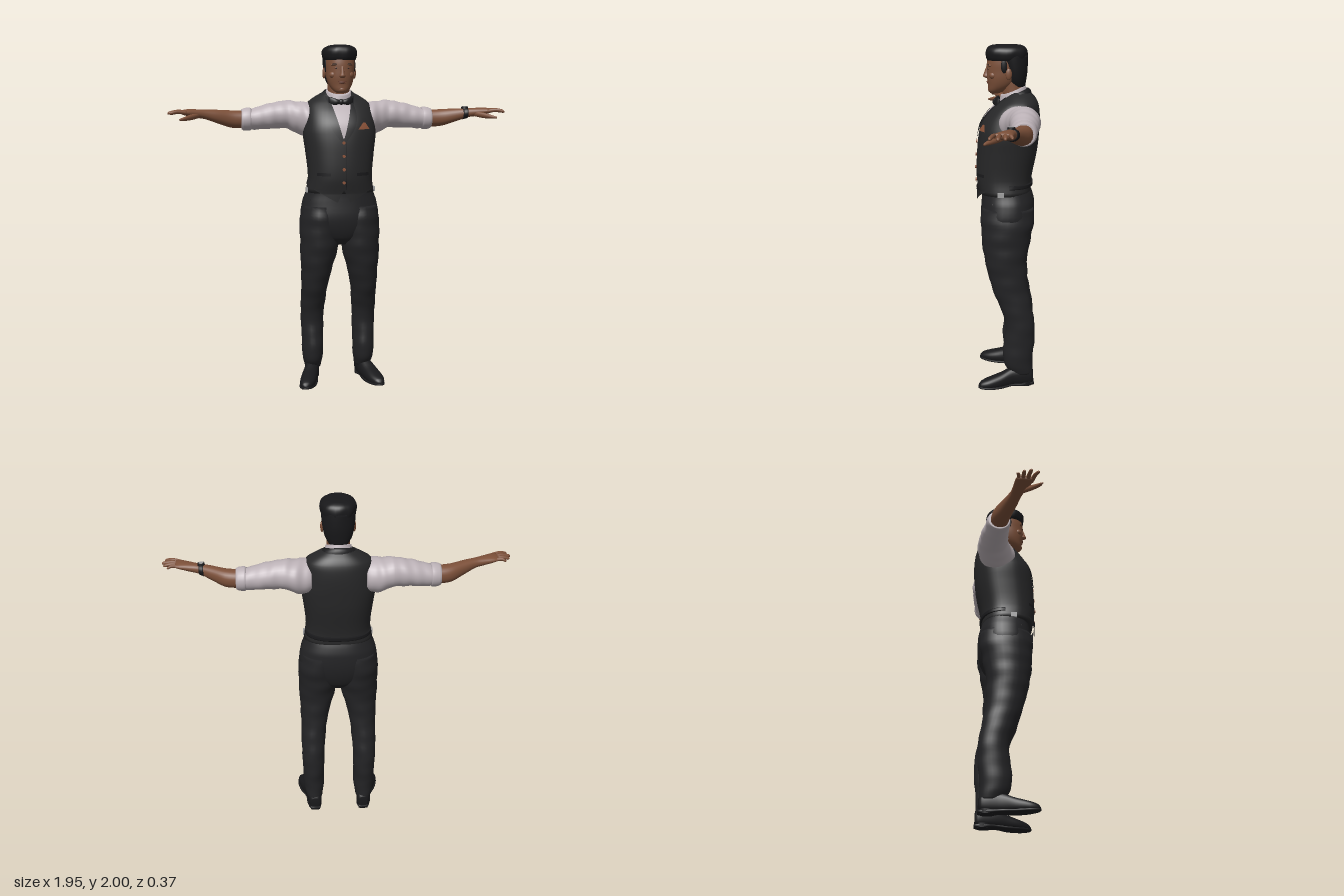
import * as THREE from 'three';

const mat = (name, color, side = THREE.FrontSide) => {
  const m = new THREE.MeshStandardMaterial({ color, side });
  m.name = name;
  return m;
};

// Smooth value of every column of a table of rows [t, a, b, ra, rb] at t
function sample(rows, t) {
  const n = rows.length;
  t = Math.min(Math.max(t, rows[0][0]), rows[n - 1][0]);
  let i = 0;
  while (i < n - 2 && t > rows[i + 1][0]) i++;
  const h = rows[i + 1][0] - rows[i][0], u = (t - rows[i][0]) / h;
  const slope = (k, c) => {
    const p = rows[Math.max(k - 1, 0)], q = rows[Math.min(k + 1, n - 1)];
    return (q[c] - p[c]) / (q[0] - p[0]);
  };
  return [1, 2, 3, 4].map(c => {
    const v = rows[i][c], w = rows[i + 1][c];
    return v + (w - v) * u * u * (3 - 2 * u)
      + h * slope(i, c) * u * (1 - u) * (1 - u) - h * slope(i + 1, c) * u * u * (1 - u);
  });
}

// Closed skin over rounded sections stacked along an axis
function loft(rows, { axis = 'y', p = 2, sides = 28, steps = 4, fold = () => 0, move = null } = {}) {
  const pos = [], idx = [];
  const put = (t, a, b) => {
    const v = axis === 'y' ? new THREE.Vector3(a, t, b) : axis === 'x' ? new THREE.Vector3(t, a, b) : new THREE.Vector3(a, b, t);
    if (move) move(v);
    pos.push(v.x, v.y, v.z);
  };
  const tri = (a, b, c) => (axis === 'y' ? idx.push(a, b, c) : idx.push(a, c, b));
  const ts = [];
  rows.forEach((r, i) => {
    if (i) for (let k = 1; k <= steps; k++) ts.push(rows[i - 1][0] + (r[0] - rows[i - 1][0]) * k / steps);
    else ts.push(r[0]);
  });
  const pw = v => Math.sign(v) * Math.abs(v) ** (2 / p);
  for (const t of ts) {
    const [a, b, ra, rb] = sample(rows, t);
    for (let j = 0; j < sides; j++) {
      const th = j / sides * Math.PI * 2, f = 1 + fold(t, th);
      put(t, a + ra * f * pw(Math.cos(th)), b + rb * f * pw(Math.sin(th)));
    }
  }
  const last = ts.length - 1;
  for (let i = 0; i < last; i++) for (let j = 0; j < sides; j++) {
    const A = i * sides + j, B = i * sides + (j + 1) % sides;
    tri(A, A + sides, B);
    tri(B, A + sides, B + sides);
  }
  for (const i of [0, last]) {
    const c = pos.length / 3, [a, b] = sample(rows, ts[i]);
    put(ts[i], a, b);
    for (let j = 0; j < sides; j++) {
      const A = i * sides + j, B = i * sides + (j + 1) % sides;
      i ? tri(c, B, A) : tri(c, A, B);
    }
  }
  const g = new THREE.BufferGeometry();
  g.setAttribute('position', new THREE.Float32BufferAttribute(pos, 3));
  g.setIndex(idx);
  g.computeVertexNormals();
  return g;
}

function mirror(geo) {
  const g = geo.clone().scale(-1, 1, 1), ix = g.index.array;
  for (let i = 0; i < ix.length; i += 3) [ix[i], ix[i + 1]] = [ix[i + 1], ix[i]];
  return g;
}

const TORSO = [
  [1.16, 0, .015, .198, .15], [1.25, 0, .02, .186, .16], [1.4, 0, .003, .2, .173], [1.5, 0, -.008, .212, .173],
  [1.56, 0, -.018, .205, .167], [1.62, 0, -.037, .195, .147], [1.67, 0, -.058, .18, .118],
  [1.705, 0, -.07, .135, .088], [1.735, 0, -.07, .08, .06]];
const TP = 2.4;
const chestZ = (x, y) => {
  const [, b, w, d] = sample(TORSO, y);
  return b + d * Math.max(0, 1 - Math.abs(x / w) ** TP) ** (1 / TP);
};

// Thin cloth lying on the chest between two edges xa(u) and xb(u), u from 0 (low) to 1 (high)
function patch(y0, y1, xa, xb, off) {
  const g = new THREE.PlaneGeometry(1, 1, 12, 20), P = g.attributes.position;
  for (let i = 0; i < P.count; i++) {
    const u = P.getY(i) + .5, s = P.getX(i) + .5, y = y0 + (y1 - y0) * u;
    const x = xa(u) + (xb(u) - xa(u)) * s;
    P.setXYZ(i, x, y, chestZ(x, y) + off);
  }
  g.computeVertexNormals();
  return g;
}

export function createModel() {
  const root = new THREE.Group();
  const skin = mat('skin', 0x7c5039), lip = mat('lips', 0x6b3f30), hair = mat('hair', 0x18181a);
  const shirt = mat('shirt', 0xbbb1b6, THREE.DoubleSide), vest = mat('vest', 0x272728, THREE.DoubleSide);
  const trim = mat('satin trim', 0x1b1b1d, THREE.DoubleSide), cloth = mat('trousers', 0x232325);
  const leather = mat('shoe leather', 0x19191b), metal = mat('metal', 0xa0a0a0);
  const copper = mat('copper accents', 0x8c5339, THREE.DoubleSide);
  const add = (name, geo, m) => {
    const mesh = new THREE.Mesh(geo, m);
    mesh.name = name;
    root.add(mesh);
    return mesh;
  };
  const both = (name, geo, m) => {
    add('left ' + name, geo, m);
    add('right ' + name, mirror(geo), m);
  };
  const ball = (x, y, z, rx, ry, rz) => new THREE.SphereGeometry(1, 20, 14).scale(rx, ry, rz).translate(x, y, z);

  // Waistcoat, shirt front and lapels
  add('waistcoat', loft(TORSO, { p: TP, sides: 48 }), vest);
  const vEdge = u => .004 + .068 * u;
  add('shirt front', patch(1.475, 1.705, u => -vEdge(u), vEdge, .004), shirt);
  both('lapel', patch(1.46, 1.71, u => vEdge(u) - .004, u => vEdge(u) + .045 * Math.sin(Math.PI * Math.min(.9, .1 + u)), .008), trim);
  both('waistcoat hem', patch(1.112, 1.185, u => .035 * (1 - u), u => .04 + .13 * u, .013), vest);
  both('welt pocket', patch(1.262, 1.28, () => .075, () => .15, .004), trim);
  add('front placket', patch(1.18, 1.475, () => .012, () => .016, .004), trim);
  add('pocket square', patch(1.525, 1.562, u => .085 + .03 * u, u => .155 - .025 * u, .009), copper);
  for (const y of [1.225, 1.3, 1.375, 1.45])
    add('button', new THREE.CylinderGeometry(.009, .009, .008, 14).rotateX(Math.PI / 2).translate(0, y, chestZ(0, y) + .005), copper);
  both('side buckle', new THREE.BoxGeometry(.012, .028, .035).translate(.197, 1.172, .04), metal);
  add('back strap', loft([[1.2, 0, .013, .193, .158], [1.222, 0, .013, .191, .16]],
    { p: TP, sides: 48, move: v => { if (v.z > 0) v.x *= .95, v.z *= .9; } }), trim);

  // Collars rise toward the nape
  const tilt = k => v => { v.y -= (v.z + .04) * k; };
  add('waistcoat collar', loft([[1.67, 0, -.055, .12, .085], [1.71, 0, -.052, .1, .08], [1.728, 0, -.048, .085, .07]], { move: tilt(.38) }), trim);
  add('shirt collar', loft([[1.67, 0, -.035, .085, .085], [1.72, 0, -.032, .078, .077], [1.748, 0, -.03, .07, .07]], { move: tilt(.4) }), shirt);
  both('bow tie wing', loft([[0, 1.677, .064, .01, .012], [.03, 1.677, .068, .018, .014], [.06, 1.677, .055, .029, .012], [.07, 1.677, .05, .026, .008]],
    { axis: 'x', sides: 16 }), trim);
  add('bow tie knot', ball(0, 1.677, .072, .015, .017, .014), trim);

  // Head and face
  add('neck', loft([[1.68, 0, -.04, .068, .065], [1.74, 0, -.032, .064, .062], [1.81, 0, -.025, .064, .062]]), skin);
  add('head', loft([[1.727, 0, .072, .022, .026], [1.742, 0, .06, .044, .048], [1.775, 0, .036, .066, .075],
    [1.815, 0, .022, .078, .095], [1.855, 0, .013, .082, .105], [1.9, 0, .008, .085, .109], [1.95, 0, .003, .078, .1], [1.98, 0, 0, .05, .07]], { p: 2.2, sides: 36 }), skin);
  add('nose', loft([[1.813, 0, .112, .012, .012], [1.822, 0, .116, .018, .023], [1.84, 0, .116, .012, .018], [1.878, 0, .113, .008, .007]], { sides: 16 }), skin);
  both('brow ridge', ball(.035, 1.886, .098, .03, .009, .014), skin);
  both('eyebrow', ball(.037, 1.889, .105, .022, .004, .008), hair);
  both('eye', ball(.033, 1.867, .106, .012, .0045, .006), lip);
  both('pupil', ball(.033, 1.867, .111, .004, .004, .002), hair);
  both('cheek', ball(.046, 1.83, .082, .024, .022, .022), skin);
  add('upper lip', ball(0, 1.792, .11, .024, .005, .009), lip);
  add('lower lip', ball(0, 1.784, .108, .02, .005, .009), lip);
  add('chin', ball(0, 1.748, .094, .024, .018, .018), skin);
  both('ear', ball(.088, 1.84, -.002, .01, .032, .018).rotateY(.05), skin);

  // Hair: swept top over a close back and sides
  const strands = (t, th) => .012 * Math.sin(th * 9 + t * 40);
  add('hair top', loft([[1.913, 0, .002, .09, .112], [1.93, 0, .004, .097, .117], [1.96, 0, .006, .1, .118],
    [1.982, 0, .006, .088, .108], [1.996, 0, .006, .06, .085], [2, 0, .006, .035, .06]], { p: 2.3, sides: 40, fold: strands }), hair);
  add('hair back', loft([[1.765, 0, -.055, .055, .045], [1.8, 0, -.048, .074, .058], [1.85, 0, -.043, .086, .07], [1.9, 0, -.033, .092, .082], [1.94, 0, -.02, .095, .095]], { sides: 36 }), hair);
  both('sideburn', ball(.082, 1.885, .02, .008, .04, .018), hair);

  // Sleeves, rolled cuffs and forearms
  const creases = (t, th) => .018 * Math.sin(t * 95 + 2 * Math.sin(th)) + .012 * Math.sin(t * 47 + th * 3);
  both('sleeve', loft([[.15, 1.58, -.05, .092, .105], [.2, 1.578, -.065, .098, .108], [.25, 1.588, -.084, .092, .096],
    [.3, 1.602, -.09, .082, .085], [.4, 1.593, -.088, .074, .077], [.5, 1.577, -.083, .062, .066], [.55, 1.575, -.08, .058, .061]], { axis: 'x', steps: 8, fold: creases }), shirt);
  both('rolled cuff', loft([[.505, 1.577, -.083, .06, .063], [.515, 1.577, -.083, .067, .069], [.55, 1.575, -.08, .064, .066], [.563, 1.575, -.079, .057, .06]], { axis: 'x' }), shirt);
  both('forearm and palm', loft([[.53, 1.575, -.08, .049, .05], [.62, 1.578, -.068, .05, .05], [.7, 1.594, -.034, .039, .041], [.77, 1.608, -.006, .027, .033],
    [.82, 1.614, .01, .024, .039], [.87, 1.62, .025, .019, .048], [.9, 1.622, .031, .012, .046]], { axis: 'x', p: 2.2 }), skin);
  for (const [name, z0, z1, tip, r] of [['index finger', .066, .092, .965, .011], ['middle finger', .043, .053, .977, .0115],
    ['ring finger', .019, .018, .966, .011], ['little finger', -.003, -.015, .943, .0095]])
    both(name, loft([[.87, 1.62, z0, r, r], [.92, 1.626, (z0 + z1) / 2, r, r], [tip - .008, 1.619, z1, r * .8, r * .8], [tip, 1.617, z1, r * .35, r * .35]], { axis: 'x', sides: 12 }), skin);
  both('thumb', loft([[.8, 1.605, .02, .015, .016], [.845, 1.596, .063, .016, .018], [.885, 1.588, .1, .011, .014], [.912, 1.584, .118, .005, .006]], { axis: 'x', sides: 14 }), skin);
  add('watch strap', loft([[.742, 1.603, -.016, .034, .04], [.768, 1.607, -.007, .031, .037]], { axis: 'x' }), leather);
  add('watch case', new THREE.CylinderGeometry(.019, .021, .012, 20).translate(.755, 1.638, -.012), leather);
  add('watch dial', new THREE.CylinderGeometry(.014, .014, .003, 20).translate(.755, 1.645, -.012), metal);

  // Trousers
  const drape = (t, th) => .012 * Math.sin(t * 42 + th * 2) + .01 * Math.sin(t * 71 - th);
  add('trouser seat', loft([[.85, 0, .005, .06, .08], [.9, 0, .005, .16, .125], [1, 0, .002, .226, .155], [1.1, 0, -.002, .218, .154], [1.15, 0, .002, .2, .147], [1.19, 0, .01, .188, .14]], { p: 2.3, sides: 40 }), cloth);
  both('trouser leg', loft([[.075, .153, -.082, .048, .066], [.13, .155, -.065, .06, .082], [.2, .156, -.06, .064, .09], [.3, .156, -.07, .066, .089],
    [.4, .157, -.07, .069, .086], [.5, .153, -.045, .073, .095], [.6, .147, -.015, .079, .105], [.7, .137, .002, .092, .115],
    [.8, .126, .012, .108, .127], [.9, .118, .008, .117, .142], [1, .118, .002, .116, .153], [1.08, .112, 0, .105, .148]], { steps: 5, fold: drape }), cloth);
  both('trouser pocket edge', loft([[.98, .218, .05, .006, .006], [1.12, .18, .085, .006, .006]], { sides: 8 }), cloth);

  // Shoes turned slightly outward
  both('shoe upper', loft([[-.152, .15, .05, .026, .036], [-.135, .151, .055, .038, .052], [-.09, .156, .06, .043, .065], [-.03, .165, .055, .044, .06],
    [.04, .187, .04, .048, .045], [.11, .206, .03, .046, .033], [.155, .217, .024, .03, .022], [.172, .22, .02, .012, .01]],
    { axis: 'z', p: 2.3, move: v => { v.y = Math.max(v.y, .012); } }), leather);
  both('shoe sole', loft([[-.156, .15, .012, .028, .01], [-.09, .156, .01, .044, .01], [-.03, .167, .013, .04, .008], [.04, .187, .008, .051, .008],
    [.11, .206, .009, .049, .008], [.16, .218, .012, .03, .007], [.175, .221, .014, .012, .005]], { axis: 'z', p: 4 }), trim);
  both('shoe heel', new THREE.CylinderGeometry(.042, .04, .026, 20).scale(1, 1, 1.1).translate(.153, .013, -.106), trim);
  return root;
}
